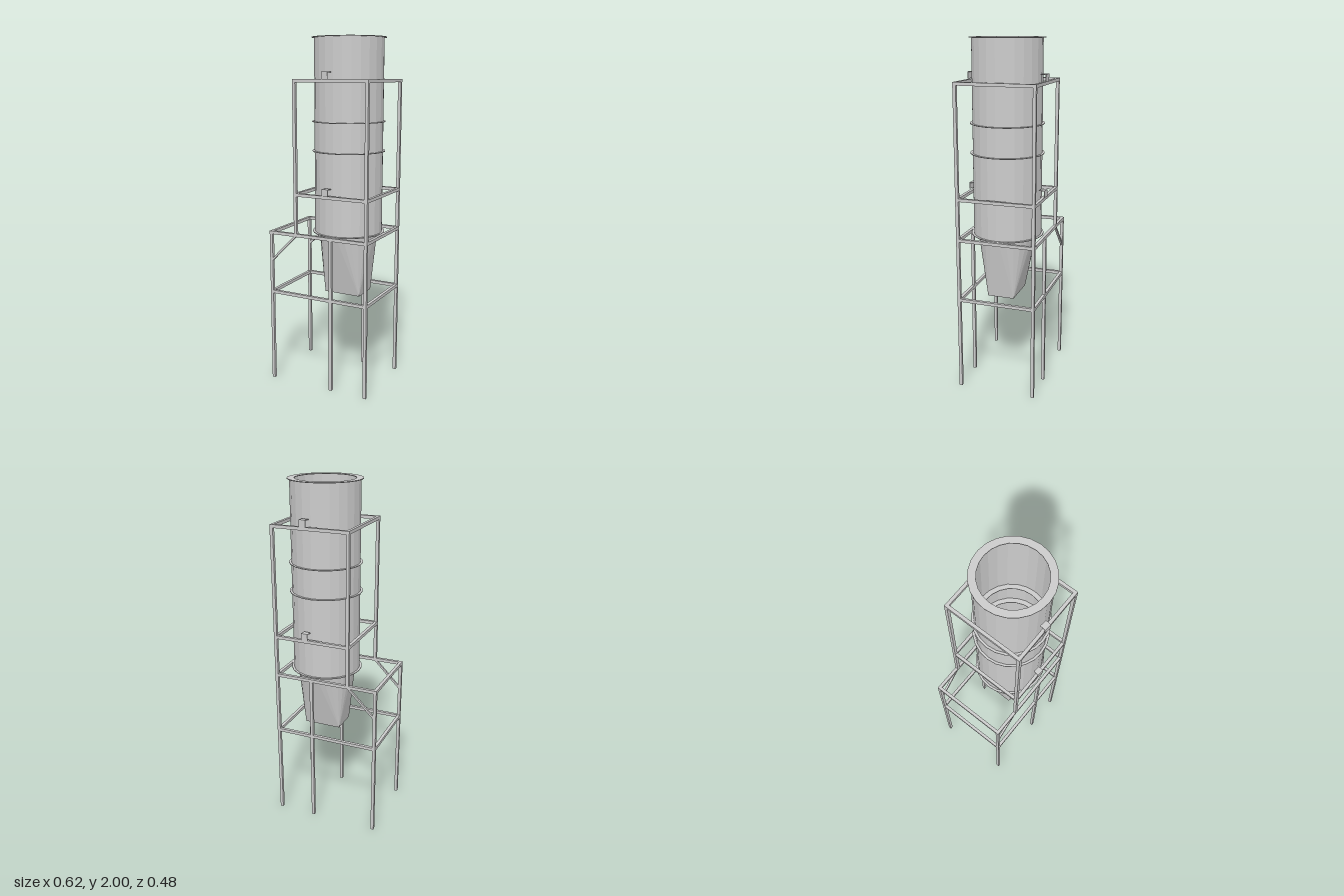
import * as THREE from 'three';

const SIDES = 24;
const CX = 0.087, CZ = -0.001;            // silo axis
const BAR = 0.018;                        // frame bar thickness
const FRONT = 0.217, BACK = -0.223;       // frame planes
const LEFT = 0.301, MID = 0.084, POST = -0.138, RIGHT = -0.302;

const steel = new THREE.MeshStandardMaterial({ color: 0xcccccc, flatShading: true });
const sheet = new THREE.MeshStandardMaterial({ color: 0xcccccc, flatShading: true, side: THREE.DoubleSide });

function add(parent, name, geometry, material = steel) {
  const mesh = new THREE.Mesh(geometry, material);
  mesh.name = name;
  parent.add(mesh);
  return mesh;
}

// Square bar between two points
function bar(parent, name, a, b, size = BAR) {
  const from = new THREE.Vector3(...a), to = new THREE.Vector3(...b);
  const mesh = add(parent, name, new THREE.BoxGeometry(size, size, from.distanceTo(to)));
  mesh.position.copy(from).add(to).multiplyScalar(0.5);
  mesh.lookAt(to);
  return mesh;
}

// Rectangular ring of bars at one height
function barRing(parent, name, x0, x1, y) {
  const h = BAR / 2;
  for (const z of [FRONT, BACK]) bar(parent, name, [x0 - h, y, z], [x1 + h, y, z]);
  for (const x of [x0, x1]) bar(parent, name, [x, y, BACK], [x, y, FRONT]);
}

// Round-to-rectangular funnel, open at both ends
function hopperGeometry(radius, yTop, yBottom, halfX, halfZ, offsetZ) {
  const ring = (i) => {
    const a = (i / SIDES) * Math.PI * 2;
    return [Math.cos(a) * radius, yTop, Math.sin(a) * radius];
  };
  const corner = (q) => [
    (q % 4 === 0 || q % 4 === 3 ? 1 : -1) * halfX, yBottom,
    (q % 4 < 2 ? 1 : -1) * halfZ + offsetZ,
  ];
  const points = [], quarter = SIDES / 4;
  for (let q = 0; q < 4; q++) {
    for (let i = q * quarter; i < (q + 1) * quarter; i++) {
      points.push(...ring(i), ...ring(i + 1), ...corner(q));
    }
    points.push(...ring((q + 1) * quarter), ...corner(q + 1), ...corner(q));
  }
  const geometry = new THREE.BufferGeometry();
  geometry.setAttribute('position', new THREE.Float32BufferAttribute(points, 3));
  geometry.computeVertexNormals();
  return geometry;
}

function createSilo() {
  const silo = new THREE.Group();
  silo.name = 'silo';
  silo.position.set(CX, 0, CZ);

  const shell = add(silo, 'siloShell', new THREE.CylinderGeometry(0.194, 0.194, 1.09, SIDES, 1, true), sheet);
  shell.position.y = 1.455;

  // Flat flanges at the ends and at the two section joints
  for (const y of [0.91, 1.375, 1.54, 1.996]) {
    const profile = [[0.168, 0], [0.207, 0], [0.207, 0.004], [0.168, 0.004], [0.168, 0]]
      .map(([r, h]) => new THREE.Vector2(r, h));
    add(silo, 'flange', new THREE.LatheGeometry(profile, SIDES), sheet).position.y = y;
  }

  add(silo, 'hopper', hopperGeometry(0.168, 0.912, 0.548, 0.109, 0.077, 0.005), sheet);

  // Angle brackets resting over the frame bars, front and back
  for (const turn of [-0.128, Math.PI - 0.128]) {
    for (const y of [1.146, 1.774]) {
      const bracket = new THREE.Group();
      bracket.name = 'bracket';
      bracket.rotation.y = turn;
      bracket.position.y = y;
      add(bracket, 'bracketTop', new THREE.BoxGeometry(0.04, 0.004, 0.033)).position.set(0, 0.037, 0.2205);
      add(bracket, 'bracketFace', new THREE.BoxGeometry(0.04, 0.039, 0.004)).position.set(0, 0.0195, 0.235);
      silo.add(bracket);
    }
  }
  return silo;
}

function createFrame() {
  const frame = new THREE.Group();
  frame.name = 'frame';

  // Lower and upper rings
  for (const y of [0.545, 0.903]) barRing(frame, 'lowerRing', RIGHT, LEFT, y);
  for (const y of [1.137, 1.765]) barRing(frame, 'upperRing', POST, LEFT, y);

  // Legs, posts and diagonal braces on both sides
  for (const z of [FRONT, BACK]) {
    bar(frame, 'cornerLeg', [RIGHT, 0, z], [RIGHT, 0.912, z]);
    bar(frame, 'middleLeg', [MID, 0, z], [MID, 0.903, z]);
    bar(frame, 'tallLeg', [LEFT, 0, z], [LEFT, 1.774, z]);
    bar(frame, 'upperPost', [POST, 0.903, z], [POST, 1.774, z]);
    bar(frame, 'brace', [RIGHT, 0.735, z], [POST, 0.9, z], 0.012);
  }
  return frame;
}

export function createModel() {
  const model = new THREE.Group();
  model.name = 'siloOnFrame';
  model.add(createSilo(), createFrame());
  return model;
}
